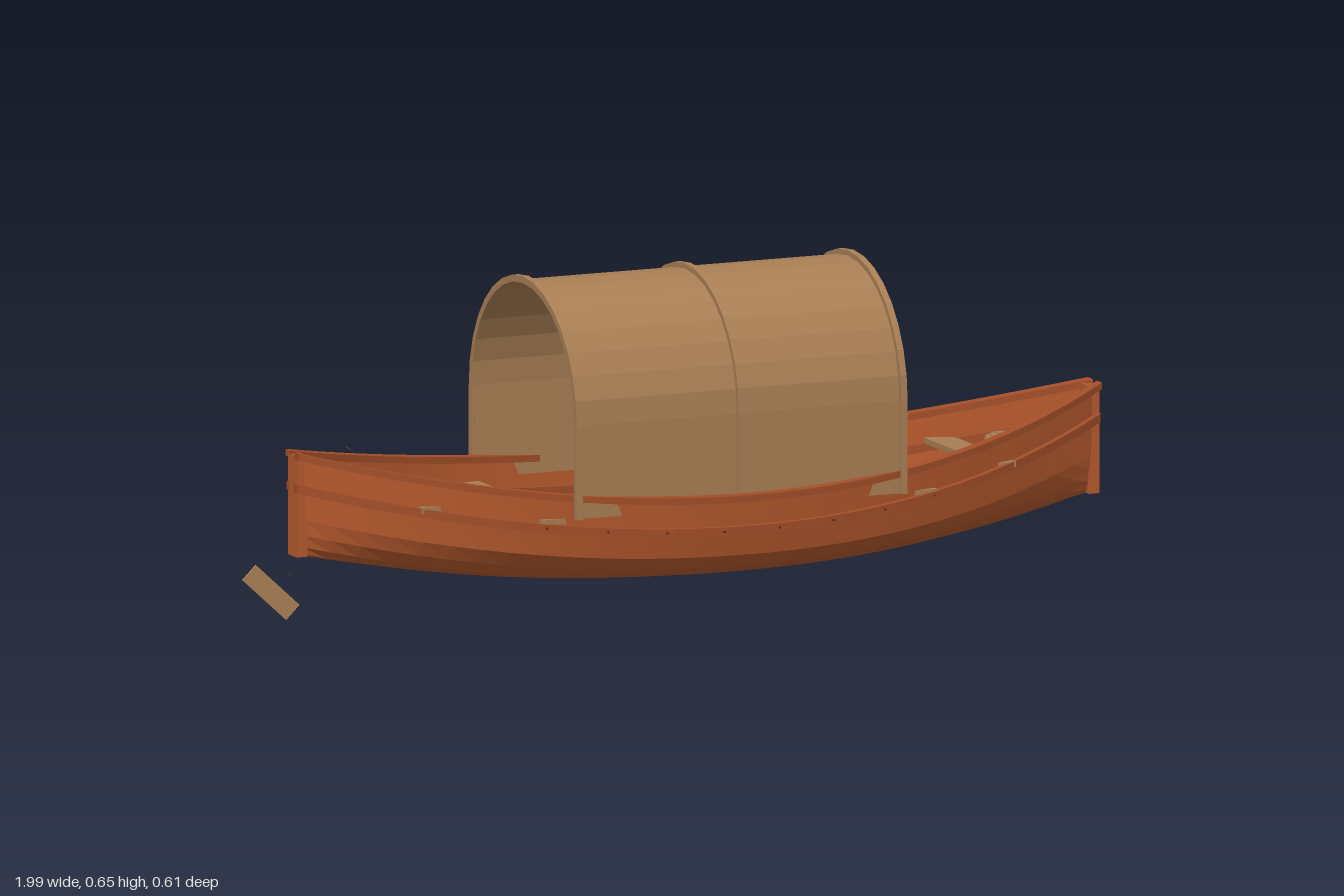
import * as THREE from 'three';

const mat = (name, color) => {
  const m = new THREE.MeshStandardMaterial({ color, side: THREE.DoubleSide });
  m.name = name;
  return m;
};

// Faceted surface through rows of [x, y, z]; closed rows also get end caps.
function loft(rows, closed = false) {
  const n = rows[0].length, index = [];
  const quads = closed ? n : n - 1;
  for (let i = 0; i < rows.length - 1; i++) {
    for (let j = 0; j < quads; j++) {
      const k = (j + 1) % n;
      const a = i * n + j, b = i * n + k, c = a + n, d = b + n;
      index.push(a, c, b, b, c, d);
    }
  }
  if (closed) {
    const e = (rows.length - 1) * n;
    for (let j = 1; j < n - 1; j++) index.push(0, j, j + 1, e, e + j + 1, e + j);
  }
  const g = new THREE.BufferGeometry();
  g.setAttribute('position', new THREE.Float32BufferAttribute(rows.flat(2), 3));
  g.setIndex(index);
  const flat = g.toNonIndexed();
  flat.computeVertexNormals();
  return flat;
}

// Hull lines, with t running from -1 at the stern to 1 at the bow.
const MID = 0.08, HALF = 0.895, STEPS = 32;
const tOf = (x) => (x - MID) / HALF;
const halfWidth = (t) => 0.02 + 0.267 * (1 - Math.min(1, Math.abs(t)) ** 2.1);
const sheer = (t) => 0.22 + (t > 0 ? 0.123 : 0.108) * t * t;
const keel = (t) => 0.018 + 0.092 * Math.abs(t) ** 2.2;
const stations = Array.from({ length: STEPS + 1 }, (_, i) => -1 + (2 * i) / STEPS);

export function createModel() {
  const wood = mat('rust hull wood', 0xb5592d);
  const trim = mat('dark rust trim', 0xa24e28);
  const tan = mat('tan wood and matting', 0xa87e54);
  const iron = mat('dark nails', 0x4a2a1a);
  const model = new THREE.Group();
  const add = (name, geometry, material, x = 0, y = 0, z = 0) => {
    const m = new THREE.Mesh(geometry, material);
    m.name = name;
    m.position.set(x, y, z);
    model.add(m);
    return m;
  };
  const box = (name, material, w, h, d, x, y, z) =>
    add(name, new THREE.BoxGeometry(w, h, d), material, x, y, z);

  // Hull shell: [width fraction, height fraction] from keel to gunwale
  const side = [[0.31, 0.02], [0.58, 0.09], [0.8, 0.21], [0.93, 0.36], [0.975, 0.62], [1, 1]];
  const section = [...side.map(([w, h]) => [-w, h]).reverse(), [0, 0], ...side];
  add('hull', loft(stations.map((t) => {
    const bottom = keel(t), height = sheer(t) - 0.006 - bottom;
    return section.map(([w, h]) => [MID + t * HALF, bottom + h * height, w * halfWidth(t)]);
  })), wood);

  // Gunwales and rubbing strakes
  const rail = (name, s, inner, outer, top, bottom) => add(name, loft(stations.map((t) => {
    const x = MID + t * (HALF + 0.013), w = halfWidth(t), y = sheer(t);
    const a = s * Math.max(0.006, w - inner), b = s * (w + outer);
    return [[x, y - top, a], [x, y - top, b], [x, y - bottom, b], [x, y - bottom, a]];
  }), true), trim);
  for (const s of [-1, 1]) {
    const label = s > 0 ? 'front' : 'back';
    rail(label + 'Gunwale', s, 0.011, 0.016, 0, 0.014);
    rail(label + 'Strake', s, 0.02, 0.009, 0.066, 0.084);
    // Nails along the strake
    for (let i = 0; i < 14; i++) {
      const t = -0.91 + i * 0.14;
      box(label + 'Nail', iron, 0.004, 0.004, 0.004,
        MID + t * HALF, sheer(t) - 0.075, s * (halfWidth(t) + 0.009));
    }
  }

  // Stem posts
  box('bowPost', wood, 0.024, 0.226, 0.044, 0.976, 0.222, 0);
  box('sternPost', wood, 0.024, 0.212, 0.044, -0.816, 0.215, 0);

  // Floor boards and thwarts
  box('floorBoards', tan, 1.145, 0.01, 0.28, 0.08, 0.1, 0);
  for (const [x, y, w] of [[-0.57, 0.212, 0.066], [-0.335, 0.182, 0.068],
    [0.495, 0.182, 0.062], [0.705, 0.212, 0.062]]) {
    const reach = halfWidth(tOf(x)) + 0.001;
    box('thwart', tan, w, 0.012, reach * 2, x, y, 0);
  }

  // Arched canopy with three ribs
  const arch = (r, x) => {
    const pts = [[x, 0.19, r]];
    for (let i = 0; i <= 16; i++) {
      const a = (Math.PI * i) / 16;
      pts.push([x, 0.385 + r * Math.sin(a), r * Math.cos(a)]);
    }
    pts.push([x, 0.19, -r]);
    return pts;
  };
  add('canopy', loft([arch(0.261, -0.3), arch(0.261, 0.435)]), tan);
  for (const x of [-0.3, 0.067, 0.435]) {
    const outer = arch(0.272, x - 0.007), inner = arch(0.258, x - 0.007);
    add('canopyRib', loft(outer.map((p, i) => {
      const q = inner[i];
      return [p, [x + 0.007, p[1], p[2]], [x + 0.007, q[1], q[2]], q];
    }), true), tan);
  }

  // Coiled rope at the bow
  for (const [r, y] of [[0.031, 0.235], [0.02, 0.24]]) {
    add('ropeCoil', new THREE.TorusGeometry(r, 0.009, 6, 16), tan, 0.78, y, 0).rotation.x = Math.PI / 2;
  }

  // Loose paddle blade and small shaft discs
  const blade = box('paddleBlade', tan, 0.127, 0.042, 0.008, -0.94, 0.064, 0.14);
  blade.rotation.set(0, -0.16, -0.755, 'YXZ');
  for (const [x, y, z, r] of [[-0.89, 0.095, 0.125, 0.006], [-0.725, 0.336, 0.053, 0.009],
    [-0.44, 0.372, 0.053, 0.008]]) {
    const disc = add('shaftDisc', new THREE.CircleGeometry(r, 8), tan, x, y, z);
    disc.rotation.set(0, Math.PI / 2, x < -0.5 ? 0.9 : 0, 'ZYX');
  }
  return model;
}
